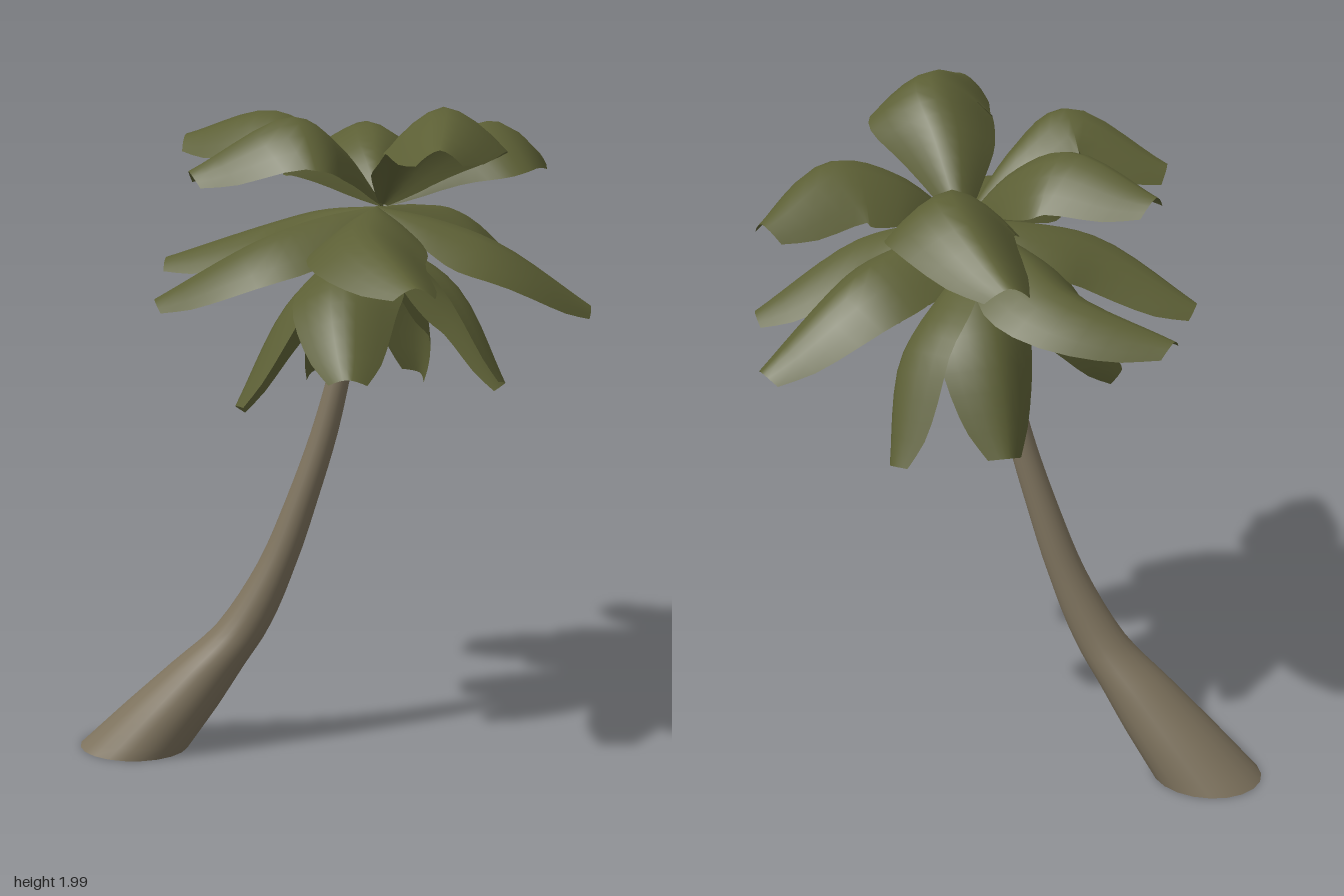
import * as THREE from 'three';

const leafMat = new THREE.MeshStandardMaterial({ color: 0x5c5f35, side: THREE.DoubleSide });
leafMat.name = 'olive leaf';
const barkMat = new THREE.MeshStandardMaterial({ color: 0x7d725d });
barkMat.name = 'brown bark';

// Grid surface from rows of points
function loft(rows) {
  const n = rows[0].length, pos = [], idx = [];
  rows.forEach(r => r.forEach(p => pos.push(p.x, p.y, p.z)));
  for (let i = 0; i < rows.length - 1; i++) {
    for (let j = 0; j < n - 1; j++) {
      const a = i * n + j, b = a + n;
      idx.push(a, b, a + 1, b, b + 1, a + 1);
    }
  }
  const g = new THREE.BufferGeometry();
  g.setAttribute('position', new THREE.Float32BufferAttribute(pos, 3));
  g.setIndex(idx);
  g.computeVertexNormals();
  return g;
}

// Leaning trunk: horizontal rings [centre x, y, radius x, radius z]
function makeTrunk() {
  const rings = [
    [-0.595, 0, 0.165, 0.145], [-0.475, 0.14, 0.14, 0.122], [-0.365, 0.27, 0.11, 0.097],
    [-0.255, 0.4, 0.08, 0.072], [-0.15, 0.6, 0.057, 0.056], [-0.075, 0.8, 0.047, 0.046],
    [-0.01, 1.0, 0.04, 0.038], [0.04, 1.2, 0.033, 0.032], [0.085, 1.4, 0.03, 0.028], [0.14, 1.66, 0.026, 0.026],
  ];
  const curve = new THREE.CatmullRomCurve3(rings.map(r => new THREE.Vector3(r[0], r[1], 0)));
  const size = new THREE.CatmullRomCurve3(rings.map(r => new THREE.Vector3(r[2], r[3], 0)));
  const rows = [];
  for (let i = 0; i <= 36; i++) {
    const c = curve.getPoint(i / 36), s = size.getPoint(i / 36), row = [];
    for (let j = 0; j <= 20; j++) {
      const a = j / 20 * Math.PI * 2;
      row.push(new THREE.Vector3(c.x + Math.cos(a) * s.x, c.y, -0.013 + Math.sin(a) * s.y));
    }
    rows.push(row);
  }
  const trunk = new THREE.Mesh(loft(rows), barkMat);
  trunk.name = 'trunk';
  // Flat underside
  const cap = new THREE.Mesh(new THREE.CircleGeometry(1, 20).rotateX(Math.PI / 2), barkMat);
  cap.scale.set(0.165, 1, 0.145);
  cap.position.set(-0.595, 0, -0.013);
  cap.name = 'trunkBase';
  return [trunk, cap];
}

// Half width along the leaf, with a blunt tip
const outline = new THREE.CatmullRomCurve3(
  [[0, 0.05], [0.15, 0.45], [0.32, 0.8], [0.5, 1], [0.7, 0.96], [0.88, 0.72], [1, 0.35]]
    .map(p => new THREE.Vector3(p[0], p[1], 0)));

// Broad arched leaf along a curved spine, edges hanging down, rolled about its length
function makeLeaf(base, mid, tip, roll, { lift, half, droop }) {
  const [b, m, e] = [base, mid, tip].map(p => new THREE.Vector3(...p));
  const rise = b.clone().lerp(m, 0.5);
  rise.y += lift;
  const spine = new THREE.CatmullRomCurve3([b, rise, m, e]);
  const chord = e.clone().sub(b).normalize();
  const up = new THREE.Vector3(0, 1, 0), rows = [];
  for (let i = 0; i <= 16; i++) {
    const o = outline.getPoint(i / 16), t = Math.min(Math.max(o.x, 0), 1);
    const p = spine.getPoint(t), d = spine.getTangent(t);
    const side = d.clone().add(chord).cross(up).normalize().applyAxisAngle(d, roll);
    const normal = new THREE.Vector3().crossVectors(side, d).normalize();
    const row = [];
    for (let j = 0; j <= 8; j++) {
      const s = j / 4 - 1;
      row.push(p.clone()
        .addScaledVector(side, s * o.y * half)
        .addScaledVector(normal, -droop * o.y * Math.pow(Math.abs(s), 1.6)));
    }
    rows.push(row);
  }
  return new THREE.Mesh(loft(rows), leafMat);
}

// Three tiers of five leaves: [mid point, tip, roll]
const tiers = [
  { name: 'topLeaf', base: [0.155, 1.67, -0.05], lift: 0.05, half: 0.18, droop: 0.13, leaves: [
    [[0.06, 1.87, -0.38], [-0.18, 1.72, -0.6], 0],
    [[0.44, 1.89, -0.27], [0.55, 1.78, -0.52], 0],
    [[0.36, 1.99, 0.25], [0.38, 1.91, 0.55], 0],
    [[-0.07, 1.95, 0.21], [-0.35, 1.8, 0.26], 0],
    [[-0.17, 1.93, -0.1], [-0.44, 1.85, -0.16], 0],
  ] },
  { name: 'middleLeaf', base: [0.14, 1.67, -0.02], lift: 0.015, half: 0.165, droop: 0.1, leaves: [
    [[-0.2, 1.58, -0.24], [-0.52, 1.47, -0.23], 0],
    [[0.35, 1.6, -0.38], [0.55, 1.37, -0.57], 0],
    [[0.49, 1.57, -0.04], [0.75, 1.37, -0.17], 0],
    [[0.17, 1.66, 0.38], [0.33, 1.56, 0.65], 0],
    [[-0.18, 1.59, 0.16], [-0.47, 1.42, 0.18], 0],
  ] },
  { name: 'lowerLeaf', base: [0.12, 1.59, -0.01], lift: 0.02, half: 0.15, droop: 0.08, leaves: [
    [[0.1, 1.5, 0.36], [0.14, 1.29, 0.57], 0],
    [[0.41, 1.46, 0.18], [0.54, 1.23, 0.27], -0.9],
    [[0.23, 1.37, -0.32], [0.22, 1.09, -0.46], 0.7],
    [[-0.1, 1.4, 0.16], [-0.22, 1.14, 0.28], 0.7],
    [[-0.02, 1.38, -0.24], [-0.09, 1.11, -0.35], -0.3],
  ] },
];

export function createModel() {
  const group = new THREE.Group();
  group.name = 'palmTree';
  group.add(...makeTrunk());
  const crown = new THREE.Group();
  crown.name = 'crown';
  for (const tier of tiers) {
    tier.leaves.forEach(([mid, tip, roll], i) => {
      const leaf = makeLeaf(tier.base, mid, tip, roll, tier);
      leaf.name = tier.name + (i + 1);
      crown.add(leaf);
    });
  }
  group.add(crown);
  return group;
}
